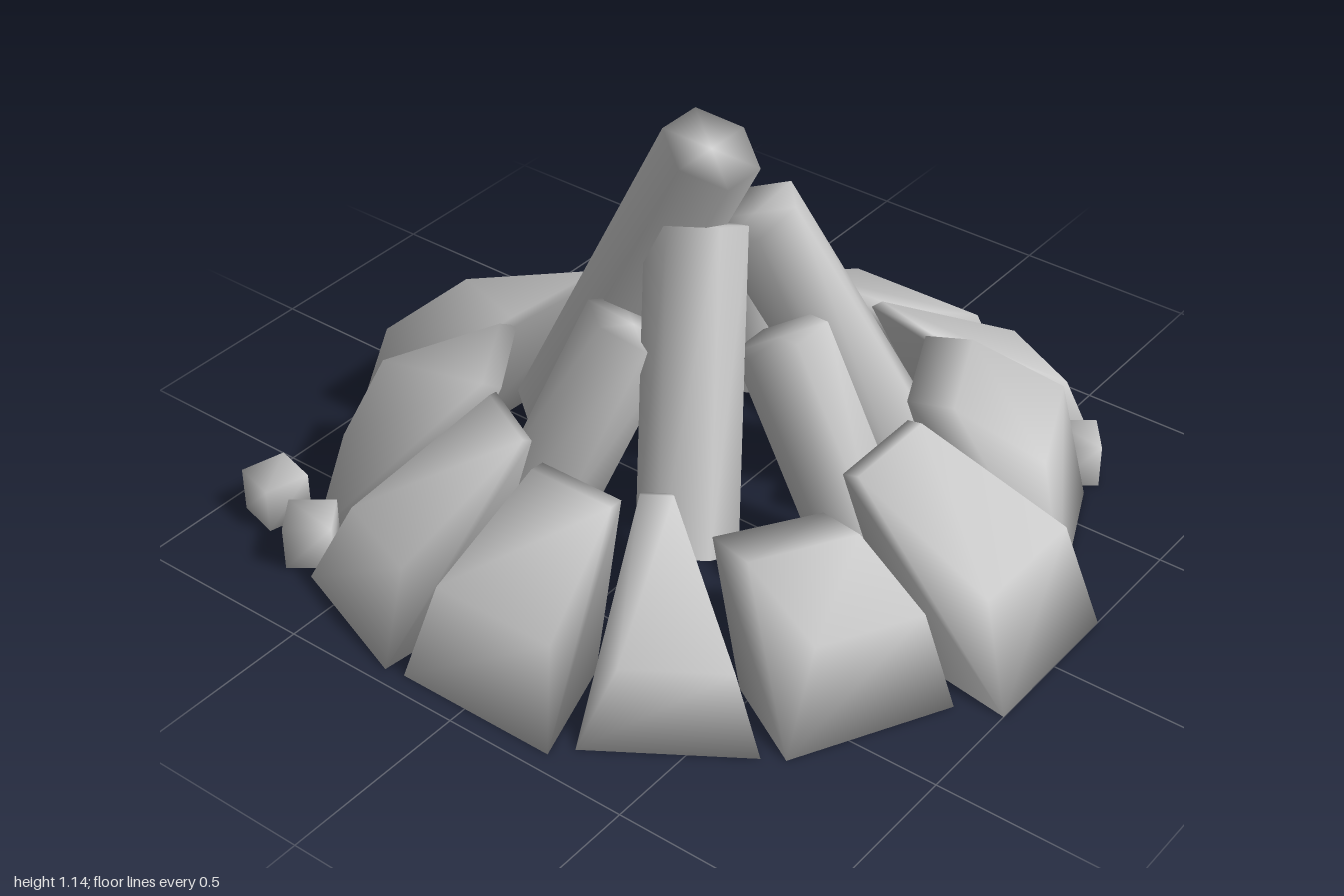
import * as THREE from 'three';
import { mergeVertices } from 'three/addons/utils/BufferGeometryUtils.js';

const material = new THREE.MeshStandardMaterial({ color: 0xcccccc });

// Ring stones: plan corners [x, z] outer start, outer end, inner start, inner end, then
// shoulder height, crown height, crown position from outer (0) to inner (1), start-side chamfer
const STONES = [
  [[-0.22, 1], [0.2, 1], [-0.14, 0.48], [0.13, 0.48], 0.27, 0.42, 0.92, 0.08],
  [[0.23, 0.88], [0.62, 0.71], [0.17, 0.45], [0.43, 0.33], 0.34, 0.44, 0.72, 0.12],
  [[0.81, 0.63], [0.96, 0.35], [0.43, 0.31], [0.47, 0.14], 0.21, 0.43, 0.95, 0.05],
  [[0.94, 0.27], [0.94, -0.2], [0.47, 0.13], [0.44, -0.15], 0.22, 0.36, 0.75, 0.06],
  [[0.8, -0.24], [0.63, -0.59], [0.4, -0.2], [0.31, -0.44], 0.25, 0.4, 0.9, 0.08],
  [[0.57, -0.65], [0.24, -0.88], [0.28, -0.47], [0.22, -0.48], 0.23, 0.35, 0.9, 0.05],
  [[0.21, -1], [-0.25, -1], [0.2, -0.48], [-0.14, -0.52], 0.28, 0.43, 0.95, 0.25],
  [[-0.27, -0.93], [-0.69, -0.73], [-0.13, -0.53], [-0.36, -0.38], 0.28, 0.42, 0.9, 0.18],
  [[-0.82, -0.62], [-0.96, -0.24], [-0.38, -0.38], [-0.48, -0.18], 0.24, 0.42, 0.95, 0.22],
  [[-0.95, -0.19], [-0.95, 0.25], [-0.49, -0.14], [-0.49, 0.1], 0.24, 0.38, 0.9, 0.1],
  [[-0.9, 0.29], [-0.67, 0.64], [-0.47, 0.14], [-0.43, 0.2], 0.18, 0.41, 0.95, 0.2],
  [[-0.64, 0.69], [-0.26, 0.89], [-0.43, 0.32], [-0.2, 0.47], 0.24, 0.34, 0.7, 0.25],
];

// Logs: base centre and tip centre
const LOGS = [
  [[-0.06, 0.15, -0.45], [-0.06, 1.09, 0.035]],
  [[0.36, 0.18, 0.26], [0.14, 0.81, 0.01]],
  [[-0.01, 0.15, 0.44], [-0.01, 0.61, 0.2]],
  [[-0.36, 0.18, 0.19], [-0.06, 0.87, -0.01]],
  [[-0.37, 0.16, -0.24], [-0.19, 0.62, -0.1]],
  [[0.39, 0.16, -0.23], [0.18, 0.62, -0.13]],
];

// Loose pebbles: x, z, yaw
const PEBBLES = [[-0.68, -0.87, -0.26], [-0.75, -0.68, 0.65], [0.68, 0.64, 0.65]];

// Share every corner between its faces, so the shading runs softly over all edges
function soften(geometry) {
  geometry.deleteAttribute('normal');
  geometry.deleteAttribute('uv');
  const soft = mergeVertices(geometry);
  soft.computeVertexNormals();
  return soft;
}

function stoneGeometry([outerA, outerB, innerA, innerB, shoulder, crown, crownAt, chamfer]) {
  // Stations run up the outside, over the top and down the undercut inside:
  // [depth, height, start-side inset, end-side inset]
  const stations = [
    [0, 0, 0, 0],
    [0.17, shoulder, chamfer, 0.06],
    [crownAt, crown, chamfer * 0.4, 0.03],
    [1, crown - 0.01, 0, 0],
    [0.62, 0, 0, 0],
  ];
  const n = stations.length;
  const positions = [], index = [];
  for (const [t, y, insetA, insetB] of stations) {
    const a = new THREE.Vector2(...outerA).lerp(new THREE.Vector2(...innerA), t);
    const b = new THREE.Vector2(...outerB).lerp(new THREE.Vector2(...innerB), t);
    const p = a.clone().lerp(b, insetA);
    const q = b.clone().lerp(a, insetB);
    positions.push(p.x, y, p.y, q.x, y, q.y);
  }
  for (let k = 0; k < n; k++) {
    const a = 2 * k, b = a + 1, c = 2 * ((k + 1) % n), d = c + 1;
    index.push(a, b, d, a, d, c);
    if (k > 0 && k < n - 1) index.push(0, a, c, 1, d, b); // side faces
  }
  const geometry = new THREE.BufferGeometry();
  geometry.setAttribute('position', new THREE.Float32BufferAttribute(positions, 3));
  geometry.setIndex(index);
  geometry.computeVertexNormals();
  return geometry;
}

function makeLog(basePoint, tipPoint) {
  const base = new THREE.Vector3(...basePoint);
  const tip = new THREE.Vector3(...tipPoint);
  const out = base.clone().sub(tip);
  const log = new THREE.Mesh(soften(new THREE.CylinderGeometry(0.123, 0.123, out.length(), 6)), material);
  log.position.copy(base).add(tip).multiplyScalar(0.5);
  // Lean inwards, then turn to the log's direction
  log.rotation.order = 'YXZ';
  log.rotation.y = Math.atan2(-out.z, out.x);
  log.rotation.z = Math.atan2(Math.hypot(out.x, out.z), -out.y);
  return log;
}

export function createModel() {
  const model = new THREE.Group();
  model.name = 'campfire';
  const addGroup = (name, meshes, part) => {
    const group = new THREE.Group();
    group.name = name;
    meshes.forEach((mesh, i) => {
      mesh.name = part + (i + 1);
      group.add(mesh);
    });
    model.add(group);
  };

  // Ring of stones
  addGroup('stoneRing', STONES.map(s => new THREE.Mesh(stoneGeometry(s), material)), 'stone');

  // Leaning logs
  addGroup('logPile', LOGS.map(([base, tip]) => makeLog(base, tip)), 'log');

  // Loose pebbles around the ring
  const pebbleGeometry = soften(new THREE.BoxGeometry(0.12, 0.12, 0.12));
  addGroup('pebbles', PEBBLES.map(([x, z, yaw]) => {
    const pebble = new THREE.Mesh(pebbleGeometry, material);
    pebble.position.set(x, 0.06, z);
    pebble.rotation.y = yaw;
    return pebble;
  }), 'pebble');

  return model;
}
